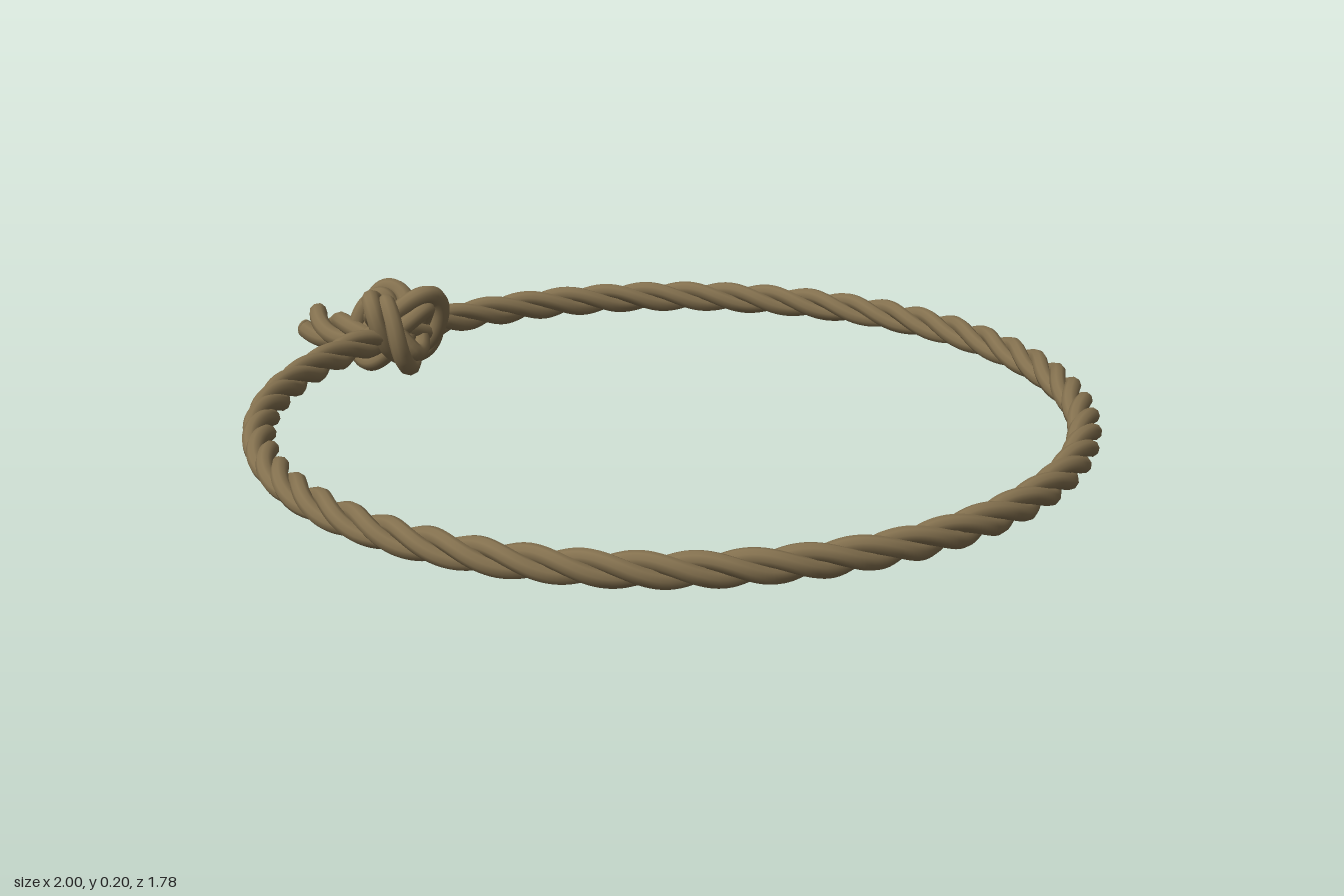
import * as THREE from 'three';

const rope = new THREE.MeshStandardMaterial({ color: 0x84714f });
rope.name = 'hemp brown';

// Lays three strands in a right-handed twist along a centre curve.
function makeRope(name, curve, { closed, turns, steps, radius, offset, flare = 0 }) {
  const group = new THREE.Group();
  group.name = name;
  curve.arcLengthDivisions = 600;
  const frames = curve.computeFrenetFrames(steps, closed);
  for (let k = 0; k < 3; k++) {
    const pts = [];
    for (let i = 0; i < steps + (closed ? 0 : 1); i++) {
      const u = i / steps;
      const a = (turns * u + k / 3) * Math.PI * 2;
      const d = offset + flare * u * u * u;
      pts.push(curve.getPointAt(u)
        .addScaledVector(frames.normals[i], Math.cos(a) * d)
        .addScaledVector(frames.binormals[i], Math.sin(a) * d));
    }
    const path = new THREE.CatmullRomCurve3(pts, closed);
    path.arcLengthDivisions = steps * 4;
    const strand = new THREE.Mesh(new THREE.TubeGeometry(path, steps * 2, radius, 9, closed), rope);
    strand.name = name + 'Strand' + (k + 1);
    group.add(strand);
    if (!closed) {
      // Blunt cut end of the strand
      const cap = new THREE.Mesh(new THREE.SphereGeometry(radius, 10, 8), rope);
      cap.name = name + 'StrandEnd' + (k + 1);
      cap.position.copy(pts[pts.length - 1]);
      cap.scale.x = 0.4;
      group.add(cap);
    }
  }
  return group;
}

// Samples a closed path from a function of angle.
function loop(fn, n) {
  const pts = Array.from({ length: n }, (_, i) => fn((i / n) * Math.PI * 2));
  return new THREE.CatmullRomCurve3(pts, true);
}

export function createModel() {
  const model = new THREE.Group();
  model.name = 'knottedRopeRing';

  // Large, slightly oval ring
  const ring = loop((t) => new THREE.Vector3(
    0.135 + 0.825 * Math.cos(t), 0.107, 0.855 * Math.sin(t)), 64);
  model.add(makeRope('ring', ring, {
    closed: true, turns: 18, steps: 324, radius: 0.0172, offset: 0.0178 }));

  // Interlaced overhand knot
  const k = 0.0285;
  const turn = 0.35;
  const knot = loop((t) => {
    const x = k * (Math.sin(t) + 2 * Math.sin(2 * t));
    const z = k * (Math.cos(t) - 2 * Math.cos(2 * t));
    return new THREE.Vector3(
      -0.712 + x * Math.cos(turn) - z * Math.sin(turn),
      0.113 - 0.061 * Math.sin(3 * t) + 0.08 * x,
      x * Math.sin(turn) + z * Math.cos(turn));
  }, 60);
  model.add(makeRope('knot', knot, {
    closed: true, turns: 3, steps: 150, radius: 0.0205, offset: 0.0205 }));

  // Loose tail that opens out at its cut end
  const tail = new THREE.CatmullRomCurve3([
    new THREE.Vector3(-0.70, 0.10, 0.0),
    new THREE.Vector3(-0.79, 0.09, 0.025),
    new THREE.Vector3(-0.88, 0.072, 0.027),
    new THREE.Vector3(-0.992, 0.06, 0.006)]);
  model.add(makeRope('tail', tail, {
    closed: false, turns: 0.9, steps: 30, radius: 0.021, offset: 0.022, flare: 0.007 }));

  return model;
}
